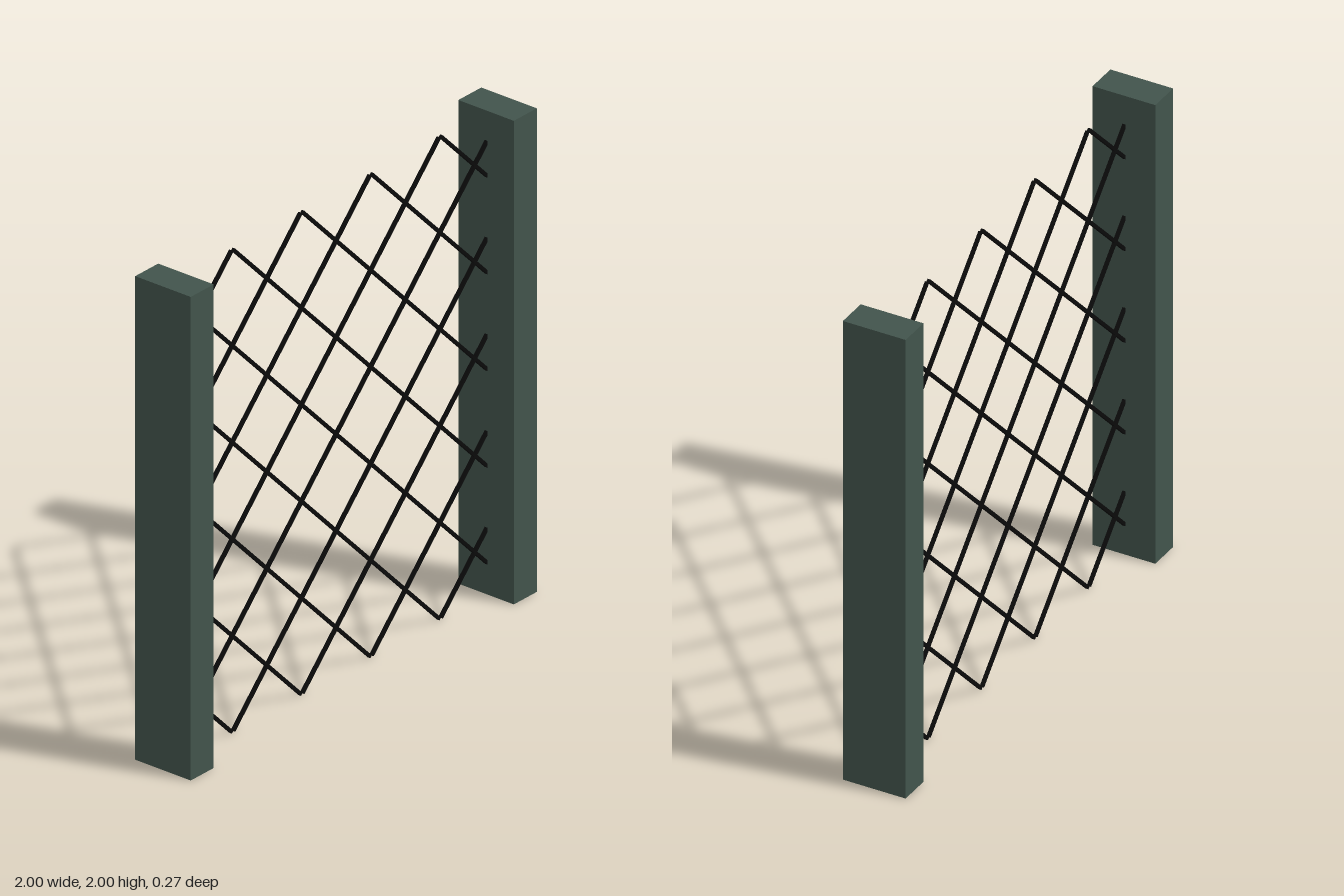
import * as THREE from 'three';

const POST_W = 0.133, POST_D = 0.266, HEIGHT = 2;
const WIRE = 0.013, PITCH = 0.4;
const INNER = 1 - POST_W;

export function createModel() {
  const group = new THREE.Group();
  group.name = 'meshFencePanel';
  const postMat = new THREE.MeshStandardMaterial({ color: 0x42544c });
  const wireMat = new THREE.MeshStandardMaterial({ color: 0x0a0a0a });

  // Two upright posts
  const postGeo = new THREE.BoxGeometry(POST_W, HEIGHT, POST_D);
  for (const side of [-1, 1]) {
    const post = new THREE.Mesh(postGeo, postMat);
    post.name = side > 0 ? 'leftPost' : 'rightPost';
    post.position.set(side * (1 - POST_W / 2), HEIGHT / 2, 0);
    group.add(post);
  }

  // Diagonal wires, cut off at the posts and at the top and bottom
  const mesh = new THREE.Group();
  mesh.name = 'wireMesh';
  const inset = WIRE * 0.4;
  for (const dir of [-1, 1]) {
    for (let i = 0; i < 9; i++) {
      const c = -0.6 + i * PITCH; // height where the wire crosses x = 0
      const y0 = Math.max(inset, c - INNER - 0.01);
      const y1 = Math.min(HEIGHT - inset, c + INNER + 0.01);
      const midY = (y0 + y1) / 2;
      const wire = new THREE.Mesh(
        new THREE.BoxGeometry(WIRE, (y1 - y0) * Math.SQRT2, WIRE), wireMat);
      wire.name = dir > 0 ? 'risingWire' : 'fallingWire';
      wire.position.set(dir * (midY - c), midY, 0);
      wire.rotation.z = -dir * Math.PI / 4;
      mesh.add(wire);
    }
  }
  group.add(mesh);
  return group;
}
